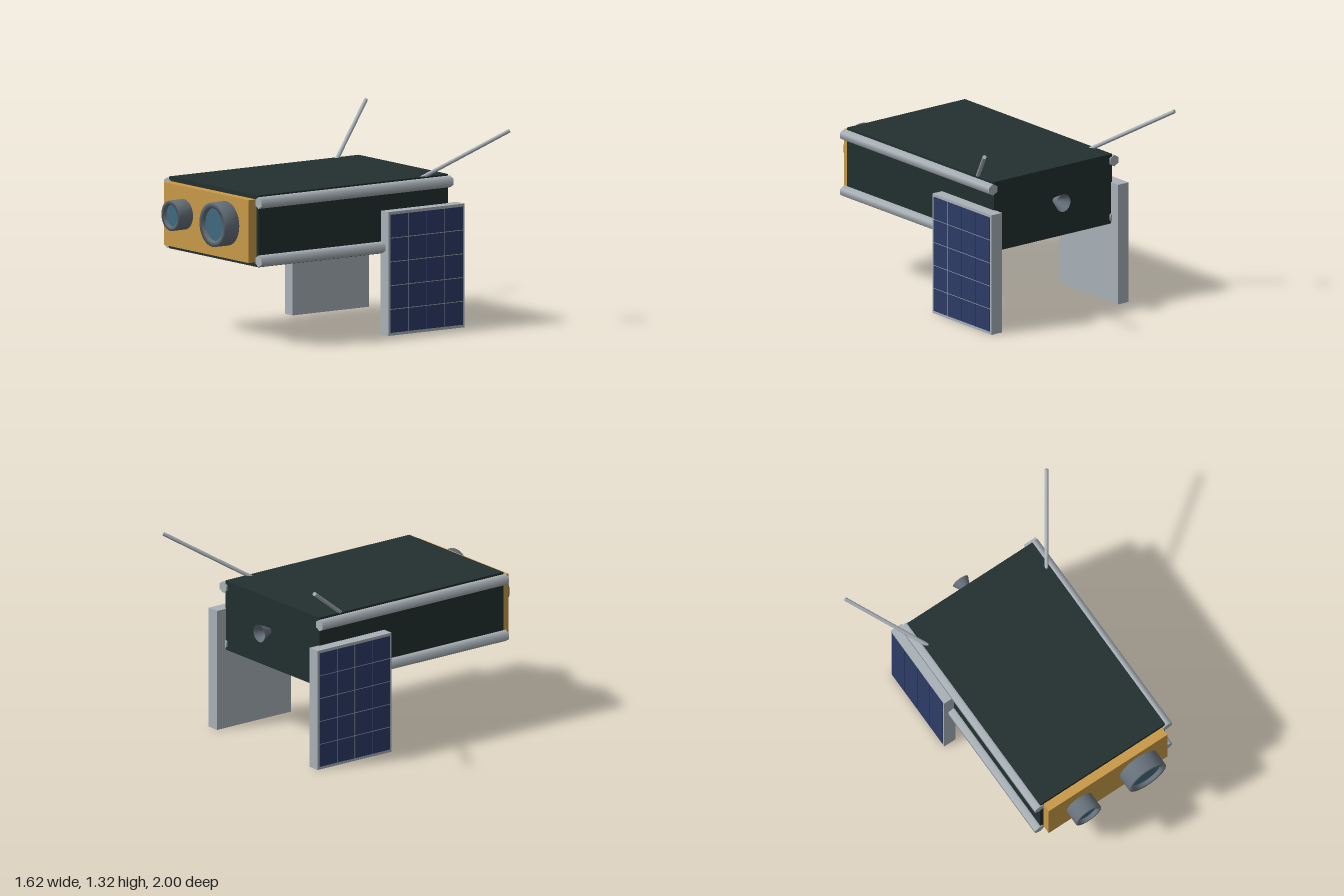
import * as THREE from 'three';

const mat = (name, color, side = THREE.FrontSide) => {
  const m = new THREE.MeshStandardMaterial({ color, side });
  m.name = name;
  return m;
};

export function createModel() {
  const model = new THREE.Group();
  model.name = 'satellite';
  const dark = mat('darkHull', 0x22302f);
  const gold = mat('goldFoil', 0xc89a48);
  const metal = mat('lightMetal', 0xa9b2b8);
  const steel = mat('lensMetal', 0x66707a, THREE.DoubleSide);
  const glass = mat('lensGlass', 0x3f6a7f);
  const blue = mat('solarCell', 0x2e3b67);

  const add = (name, geo, material, x = 0, y = 0, z = 0, parent = model) => {
    const mesh = new THREE.Mesh(geo, material);
    mesh.name = name;
    mesh.position.set(x, y, z);
    parent.add(mesh);
    return mesh;
  };

  // Hull and front plate
  add('hull', new THREE.BoxGeometry(0.99, 0.475, 1.53), dark, 0, 0.773, 0.055);
  add('frontPlate', new THREE.BoxGeometry(0.94, 0.415, 0.065), gold, 0, 0.774, 0.849);

  // Camera lenses: hollow barrel, glass and rear cap
  for (const [side, x, r] of [['small', -0.235, 0.1], ['large', 0.232, 0.146]]) {
    const lens = new THREE.Group();
    lens.name = side + 'Lens';
    lens.position.set(x, 0.8, 0.89);
    model.add(lens);
    const profile = [[0.8, 0], [1, 0], [1, 0.11], [0.76, 0.11], [0.76, 0.02]]
      .map(([k, h]) => new THREE.Vector2(k * r, h));
    add('lensBarrel', new THREE.LatheGeometry(profile, 32).rotateX(Math.PI / 2), steel, 0, 0, 0, lens);
    add('lensGlass', new THREE.CircleGeometry(r * 0.765, 32), glass, 0, 0, 0.085, lens);
    add('lensRearCap', new THREE.CircleGeometry(r * 0.8, 32).rotateY(Math.PI), gold, 0, 0, 0.004, lens);
  }

  // Parts mirrored on both sides
  for (const s of [1, -1]) {
    // Hexagonal corner rails
    for (const y of [0.963, 0.578]) {
      add('cornerRail', new THREE.CylinderGeometry(0.039, 0.039, 1.55, 6).rotateX(Math.PI / 2),
        metal, s * 0.508, y, 0.055);
    }

    // Solar panel with a 4 by 5 grid of cells on the outer face
    const panel = new THREE.Group();
    panel.name = 'solarPanel';
    panel.position.set(s * 0.53, 0.409, -0.478);
    model.add(panel);
    add('panelFrame', new THREE.BoxGeometry(0.088, 0.818, 0.615), metal, 0, 0, 0, panel);
    const pz = 0.147, py = 0.157, gap = 0.005;
    for (let c = 0; c < 4; c++) {
      for (let r = 0; r < 5; r++) {
        add('solarCell', new THREE.BoxGeometry(0.005, py - gap, pz - gap), blue,
          s * 0.0445, (r - 2) * py, (c - 1.5) * pz, panel);
      }
    }

    // Slanted rod antenna
    const a = new THREE.Vector3(s * 0.465, 0.995, -0.505);
    const b = new THREE.Vector3(s * 0.797, 1.31, -0.988);
    const dir = b.clone().sub(a);
    const rod = add('antenna', new THREE.CylinderGeometry(0.013, 0.013, dir.length(), 12), metal);
    rod.position.copy(a).add(b).multiplyScalar(0.5);
    rod.quaternion.setFromUnitVectors(new THREE.Vector3(0, 1, 0), dir.normalize());
  }

  // Open rear nozzle, flaring backwards
  add('nozzle', new THREE.CylinderGeometry(0.02, 0.06, 0.087, 24, 1, true).rotateX(Math.PI / 2),
    steel, 0, 0.797, -0.775);

  return model;
}
